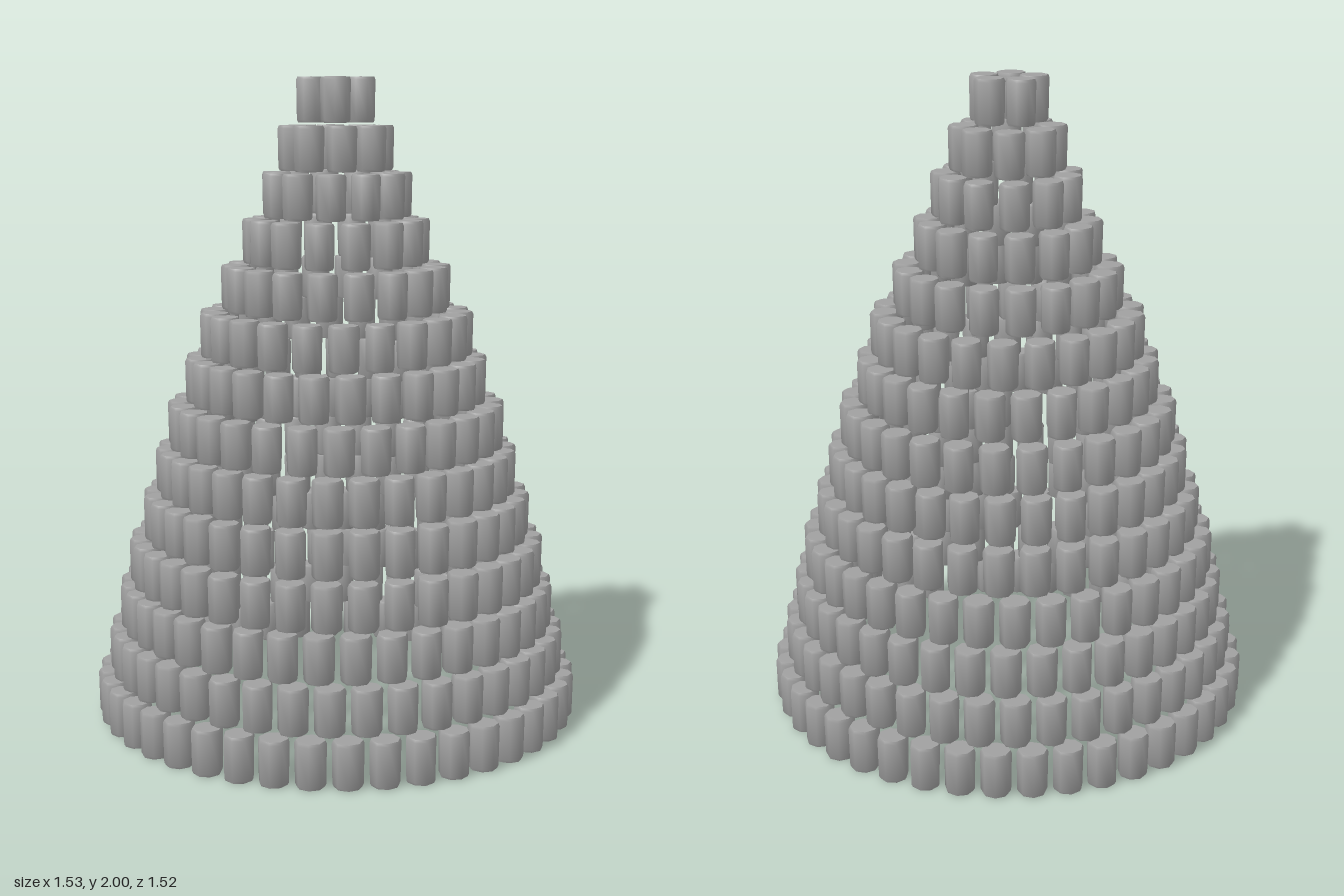
import * as THREE from 'three';
import { toCreasedNormals } from 'three/addons/utils/BufferGeometryUtils.js';

// Each tier from the ground up: [ring radius, can count, angle of one can from the front in degrees]
const TIERS = [
  [0.716, 42, -2.6], [0.677, 40, 0], [0.642, 38, 4.7], [0.61, 36, 5], [0.565, 33, 2.2],
  [0.523, 31, 0], [0.484, 28, 0], [0.428, 25, 0], [0.382, 22, 8.2], [0.312, 18, 10],
  [0.245, 14, 0], [0.19, 11, 0], [0.134, 8, 0], [0.08, 5, 180],
];
const PITCH = 2 / TIERS.length;
const HEIGHT = 0.139;

// A low-sided can with small chamfers and sharp cap edges
function canGeometry() {
  const profile = [
    [0, 0], [0.041, 0], [0.045, 0.008], [0.047, HEIGHT - 0.01], [0.043, HEIGHT - 0.001], [0, HEIGHT],
  ].map(([r, y]) => new THREE.Vector2(r, y));
  return toCreasedNormals(new THREE.LatheGeometry(profile, 8), 1.0);
}

export function createModel() {
  const model = new THREE.Group();
  model.name = 'canPyramid';
  const grey = new THREE.MeshStandardMaterial({ color: 0xa0a0a0 });
  grey.name = 'grey';
  const geometry = canGeometry();

  // Stack of shrinking, hollow rings of cans
  TIERS.forEach(([radius, count, startDegrees], level) => {
    const tier = new THREE.Group();
    tier.name = `tier${level + 1}`;
    tier.position.y = level === TIERS.length - 1 ? 2 - HEIGHT : level * PITCH;
    for (let i = 0; i < count; i++) {
      const angle = THREE.MathUtils.degToRad(startDegrees) + (i / count) * Math.PI * 2;
      const can = new THREE.Mesh(geometry, grey);
      can.name = 'can';
      can.position.set(Math.sin(angle) * radius, 0, Math.cos(angle) * radius);
      can.rotation.y = angle;
      tier.add(can);
    }
    model.add(tier);
  });
  return model;
}
